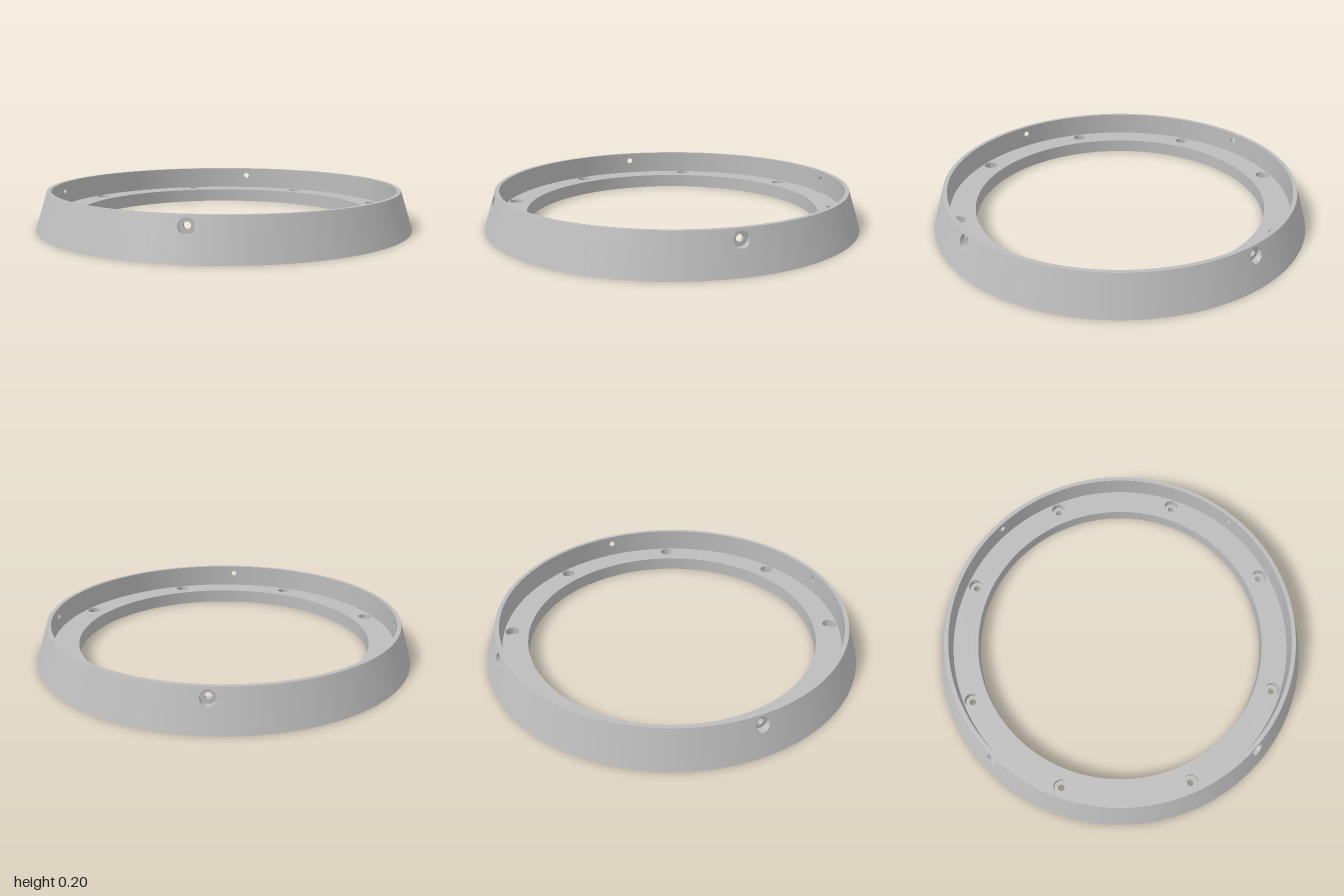
import * as THREE from 'three';
import { mergeGeometries, toCreasedNormals } from 'three/addons/utils/BufferGeometryUtils.js';

const HEIGHT = 0.2, FLOOR = 0.075;
const R_BASE = 1, R_TOP = 0.937, R_WALL = 0.915, R_HOLE = 0.78;
const BORE = 0.037, PIN = 0.017;          // counterbore and through-hole radii
const BOLT_CIRCLE = 0.872, SIDE_Y = 0.153;
const SEG = 120, STEP = (Math.PI * 2) / SEG;

const taper = (y) => R_BASE + (R_TOP - R_BASE) * (y / HEIGHT);

function circle(r, n, cx = 0, cy = 0) {
  return Array.from({ length: n }, (_, i) => {
    const a = (i / n) * Math.PI * 2;
    return new THREE.Vector2(cx + r * Math.cos(a), cy + r * Math.sin(a));
  });
}

// Flat ring, with eight holes of the given radius on the bolt circle
function plate(inner, outer, holeR) {
  const shape = new THREE.Shape(circle(outer, SEG));
  shape.holes.push(new THREE.Path(circle(inner, SEG)));
  for (let i = 0; holeR && i < 8; i++) {
    const a = ((i + 0.5) * Math.PI) / 4;
    shape.holes.push(new THREE.Path(
      circle(holeR, 24, BOLT_CIRCLE * Math.cos(a), BOLT_CIRCLE * Math.sin(a))));
  }
  return new THREE.ShapeGeometry(shape);
}

// Wraps a flat (angle, y) geometry around the axis
function wrap(geo, radius, inward) {
  const p = geo.attributes.position, n = geo.attributes.normal;
  const s = inward ? -1 : 1, v = new THREE.Vector3();
  const slope = (radius(0) - radius(HEIGHT)) / HEIGHT;
  for (let i = 0; i < p.count; i++) {
    const a = p.getX(i), y = p.getY(i), r = radius(y);
    p.setXYZ(i, r * Math.sin(a), y, r * Math.cos(a));
    v.set(Math.sin(a), slope, Math.cos(a)).normalize().multiplyScalar(s);
    n.setXYZ(i, v.x, v.y, v.z);
  }
  if (inward) geo.setIndex(Array.from(geo.index.array).reverse());
  return geo;
}

// Round wall with four holes on the diagonals
function wall(radius, y0, y1, holeR, inward) {
  const parts = [];
  for (let k = 0; k < 4; k++) {
    const mid = Math.PI / 4 + (k * Math.PI) / 2;
    const strip = new THREE.PlaneGeometry(28 * STEP, y1 - y0, 28, 1);
    strip.translate(mid + Math.PI / 4, (y0 + y1) / 2, 0);
    const patch = new THREE.Shape([[-1, y0], [0, y0], [1, y0], [1, y1], [0, y1], [-1, y1]]
      .map(([i, y]) => new THREE.Vector2(mid + i * STEP, y)));
    patch.holes.push(new THREE.Path(circle(holeR, 24).map((c) =>
      new THREE.Vector2(mid + Math.asin(c.x / radius(SIDE_Y + c.y)), SIDE_Y + c.y))));
    parts.push(wrap(strip, radius, inward), wrap(new THREE.ShapeGeometry(patch), radius, inward));
  }
  return mergeGeometries(parts);
}

// Inside surface of a stepped screw hole, axis along y
function bore(top, step, bottom) {
  return new THREE.LatheGeometry([
    new THREE.Vector2(BORE, top), new THREE.Vector2(BORE, step),
    new THREE.Vector2(PIN, step), new THREE.Vector2(PIN, bottom),
  ], 24);
}

export function createModel() {
  const group = new THREE.Group();
  group.name = 'mountingRing';
  const grey = new THREE.MeshStandardMaterial({ color: 0xbcbcbc });
  grey.name = 'grey';
  const add = (name, geo) => {
    const mesh = new THREE.Mesh(geo, grey);
    mesh.name = name;
    group.add(mesh);
    return mesh;
  };

  // Flat faces
  add('underside', plate(R_HOLE, R_BASE, PIN).rotateX(Math.PI / 2));
  add('flangeFloor', plate(R_HOLE, R_WALL, BORE).rotateX(-Math.PI / 2).translate(0, FLOOR, 0));
  add('topRim', plate(R_WALL, R_TOP, 0).rotateX(-Math.PI / 2).translate(0, HEIGHT, 0));

  // Round walls
  add('outerWall', wall(taper, 0, HEIGHT, BORE, false));
  add('innerWall', wall(() => R_WALL, FLOOR, HEIGHT, PIN, true));
  const opening = new THREE.PlaneGeometry(Math.PI * 2, FLOOR, SEG, 1).translate(0, FLOOR / 2, 0);
  add('centreOpening', wrap(opening, () => R_HOLE, true));

  // Vertical screw holes through the flange
  const floorBore = toCreasedNormals(bore(FLOOR, 0.035, 0), 0.6);
  for (let i = 0; i < 8; i++) {
    const a = ((i + 0.5) * Math.PI) / 4;
    add('flangeScrewHole', floorBore)
      .position.set(BOLT_CIRCLE * Math.cos(a), 0, BOLT_CIRCLE * Math.sin(a));
  }

  // Horizontal screw holes, their ends trimmed to the walls
  const side = bore(1, 0.93, 0.9).rotateX(Math.PI / 2).translate(0, SIDE_Y, 0);
  const p = side.attributes.position;
  for (let i = 0; i < p.count; i++) {
    const z = p.getZ(i);
    if (Math.abs(z - 0.93) < 0.001) continue;
    const r = z > 0.93 ? taper(p.getY(i)) : R_WALL;
    p.setZ(i, Math.sqrt(r * r - p.getX(i) ** 2));
  }
  const sideBore = toCreasedNormals(side, 0.6);
  for (let k = 0; k < 4; k++) {
    add('sideScrewHole', sideBore).rotation.y = Math.PI / 4 + (k * Math.PI) / 2;
  }
  return group;
}
